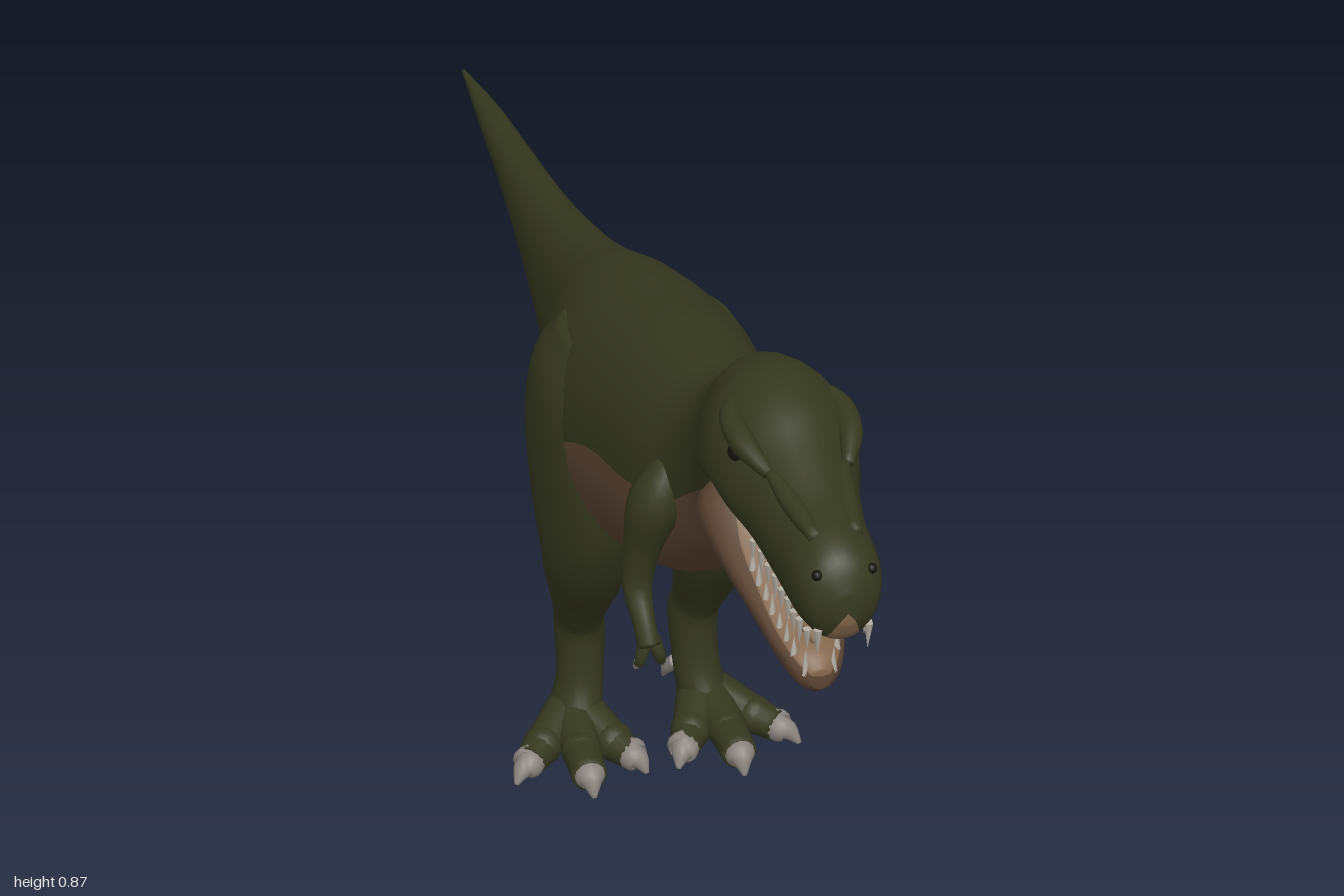
import * as THREE from 'three';

const mat = (name, color) => Object.assign(new THREE.MeshStandardMaterial({ color }), { name });
const V = (x, y, z) => new THREE.Vector3(x, y, z);

// Smoothly subdivides rows of numbers with a Catmull-Rom rule
function smooth(rows, k) {
  const out = [];
  const row = i => rows[Math.min(Math.max(i, 0), rows.length - 1)];
  for (let i = 0; i < rows.length - 1; i++) {
    for (let s = 0; s < k; s++) {
      const t = s / k;
      out.push(row(i).map((b, c) => {
        const a = row(i - 1)[c], d = row(i + 1)[c], e = row(i + 2)[c];
        return b + 0.5 * t * (d - a + t * (2 * a - 5 * b + 4 * d - e + t * (3 * (b - d) + e - a)));
      }));
    }
  }
  out.push(rows[rows.length - 1]);
  return out;
}

// Skins closed rings; the first `low` strips of each ring use material 0, the rest material 1
function skin(rings, low) {
  const n = rings[0].length, pos = [], parts = [[], []];
  rings.forEach(r => r.forEach(p => pos.push(p.x, p.y, p.z)));
  for (let i = 0; i < rings.length - 1; i++) {
    for (let j = 0; j < n; j++) {
      const a = i * n + j, b = i * n + (j + 1) % n;
      parts[j < low ? 0 : 1].push(a, b, a + n, b, b + n, a + n);
    }
  }
  // end caps
  [0, rings.length - 1].forEach((r, end) => {
    const c = rings[r].reduce((s, p) => s.add(p), V(0, 0, 0)).divideScalar(n);
    const ci = pos.length / 3;
    pos.push(c.x, c.y, c.z);
    for (let j = 0; j < n; j++) {
      const a = r * n + j, b = r * n + (j + 1) % n;
      parts[j < low ? 0 : 1].push(ci, ...(end ? [a, b] : [b, a]));
    }
  });
  const g = new THREE.BufferGeometry();
  g.setAttribute('position', new THREE.Float32BufferAttribute(pos, 3));
  g.setIndex([...parts[0], ...parts[1]]);
  g.addGroup(0, parts[0].length, 0);
  g.addGroup(parts[0].length, parts[1].length, 1);
  g.computeVertexNormals();
  return g;
}

// Lengthwise form, rows: z, top, bottom, half width, height of widest point, height of colour border
function hull(rows, k = 5, low = 16, high = 24) {
  return skin(smooth(rows, k).map(([z, top, bot, w, mid, split]) => {
    const c = split < mid ? (mid - split) / (mid - bot) : (mid - split) / (top - mid);
    const A = Math.acos(Math.min(Math.max(c, -0.98), 0.98));
    const ring = [];
    for (let j = 0; j < low + high; j++) {
      const a = j < low ? -A + 2 * A * j / low : A + (2 * Math.PI - 2 * A) * (j - low) / high;
      const h = Math.cos(a);
      ring.push(V(w * Math.sin(a), mid - h * (h > 0 ? mid - bot : top - mid), z));
    }
    return ring;
  }), low);
}

// Upright form, rows: y, inner x, outer x, back z, front z
function column(rows, side, n = 24) {
  return skin(smooth(rows, 4).map(([y, x0, x1, z0, z1]) => Array.from({ length: n }, (_, j) => {
    const a = j / n * Math.PI * 2;
    return V(side * (x0 + x1) / 2 + Math.sin(a) * (x1 - x0) / 2, y, (z0 + z1) / 2 + Math.cos(a) * (z1 - z0) / 2);
  })), n);
}

// Round tapering form along a path, rows: x, y, z, radius
function limb(rows, side = 1, n = 12) {
  const pts = smooth(rows, 4), P = pts.map(p => V(side * p[0], p[1], p[2]));
  return skin(P.map((p, i) => {
    const t = P[Math.min(i + 1, P.length - 1)].clone().sub(P[Math.max(i - 1, 0)]).normalize();
    const u = t.clone().cross(V(1, 0, 0)).normalize(), v = t.clone().cross(u);
    return Array.from({ length: n }, (_, j) => {
      const a = j / n * Math.PI * 2, r = pts[i][3];
      return p.clone().addScaledVector(u, Math.cos(a) * r).addScaledVector(v, Math.sin(a) * r);
    });
  }), n);
}

const BODY = [
  [-1, 0.533, 0.527, 0.003, 0.53, 0.529], [-0.8, 0.556, 0.51, 0.02, 0.535, 0.523],
  [-0.6, 0.568, 0.483, 0.032, 0.53, 0.503], [-0.39, 0.587, 0.44, 0.046, 0.515, 0.468],
  [-0.18, 0.623, 0.392, 0.067, 0.505, 0.425], [-0.05, 0.657, 0.366, 0.09, 0.5, 0.395],
  [0.05, 0.69, 0.352, 0.12, 0.5, 0.39], [0.15, 0.712, 0.348, 0.14, 0.51, 0.42],
  [0.25, 0.73, 0.37, 0.14, 0.53, 0.53], [0.355, 0.75, 0.4, 0.125, 0.55, 0.58],
  [0.46, 0.756, 0.445, 0.105, 0.585, 0.592], [0.535, 0.765, 0.515, 0.078, 0.63, 0.6],
  [0.585, 0.793, 0.572, 0.064, 0.68, 0.635], [0.63, 0.832, 0.6, 0.063, 0.72, 0.665],
  [0.68, 0.86, 0.612, 0.068, 0.74, 0.685], [0.72, 0.85, 0.64, 0.05, 0.74, 0.7],
];
const SKULL = [
  [0.6, 0.8, 0.7, 0.03, 0.75, 0.705], [0.65, 0.847, 0.672, 0.066, 0.75, 0.677],
  [0.7, 0.868, 0.695, 0.083, 0.755, 0.7], [0.74, 0.872, 0.722, 0.087, 0.765, 0.728],
  [0.79, 0.858, 0.705, 0.08, 0.76, 0.712], [0.84, 0.83, 0.688, 0.064, 0.75, 0.695],
  [0.9, 0.802, 0.673, 0.054, 0.735, 0.68], [0.955, 0.787, 0.667, 0.05, 0.73, 0.674],
  [0.985, 0.768, 0.674, 0.039, 0.725, 0.68], [1, 0.735, 0.7, 0.014, 0.718, 0.704],
];
const JAW = [
  [0.62, 0.66, 0.605, 0.04, 0.63, 0.655], [0.67, 0.715, 0.608, 0.074, 0.665, 0.71],
  [0.715, 0.742, 0.614, 0.082, 0.685, 0.733], [0.77, 0.692, 0.603, 0.07, 0.655, 0.68],
  [0.82, 0.655, 0.586, 0.056, 0.63, 0.645], [0.87, 0.624, 0.566, 0.042, 0.605, 0.615],
  [0.905, 0.607, 0.558, 0.029, 0.59, 0.599], [0.92, 0.592, 0.568, 0.012, 0.58, 0.586],
];
const LEG = [
  [0.01, 0.055, 0.13, 0.092, 0.2], [0.05, 0.055, 0.127, 0.092, 0.19], [0.1, 0.05, 0.115, 0.095, 0.168],
  [0.17, 0.046, 0.115, 0.078, 0.165], [0.2, 0.05, 0.118, 0.085, 0.18], [0.25, 0.042, 0.13, 0.11, 0.218],
  [0.3, 0.036, 0.143, 0.125, 0.257], [0.35, 0.034, 0.151, 0.13, 0.288], [0.41, 0.03, 0.157, 0.09, 0.312],
  [0.5, 0.03, 0.158, 0.035, 0.326], [0.59, 0.03, 0.146, 0.045, 0.312], [0.65, 0.04, 0.112, 0.1, 0.26],
];
// toe paths, each followed by the claw tip
const TOES = [
  [[0.095, 0.045, 0.14, 0.034], [0.103, 0.035, 0.225, 0.027], [0.105, 0.031, 0.28, 0.024], [0.105, 0.012, 0.306, 0.003]],
  [[0.1, 0.045, 0.14, 0.034], [0.15, 0.032, 0.195, 0.026], [0.176, 0.028, 0.225, 0.022], [0.2, 0.012, 0.25, 0.003]],
  [[0.085, 0.045, 0.15, 0.034], [0.055, 0.032, 0.21, 0.026], [0.036, 0.028, 0.243, 0.021], [0.022, 0.012, 0.268, 0.003]],
];

export function createModel() {
  const hide = mat('olive hide', 0x35381f), under = mat('brown underside', 0x5c4534);
  const mouth = mat('mouth lining', 0x80644a), tooth = mat('tooth ivory', 0xb4afa4);
  const claw = mat('claw grey', 0x8a847e), eye = mat('dark eye', 0x14130d);
  const model = new THREE.Group();
  const add = (name, geo, m, parent = model) => {
    const mesh = new THREE.Mesh(geo, m);
    mesh.name = name;
    parent.add(mesh);
    return mesh;
  };
  const group = name => {
    const g = new THREE.Group();
    g.name = name;
    model.add(g);
    return g;
  };

  add('bodyAndTail', hull(BODY), [under, hide]);

  // head
  const head = group('head');
  add('skull', hull(SKULL), [mouth, hide], head);
  add('lowerJaw', hull(JAW), [under, mouth], head);
  add('tongue', limb([[0, 0.685, 0.76, 0.022], [0, 0.655, 0.81, 0.022], [0, 0.625, 0.865, 0.014], [0, 0.612, 0.895, 0.004]]), mouth, head);

  // rows of teeth set inside the lips
  const addTeeth = (name, rows, dir, from, to, count) => {
    const line = smooth(rows, 8);
    for (let i = 0; i < count; i++) {
      const z = from + (to - from) * i / (count - 1);
      const r = line.reduce((a, b) => Math.abs(b[0] - z) < Math.abs(a[0] - z) ? b : a);
      const edge = dir < 0 ? r[2] : r[1], len = 0.026 + 0.006 * (i % 2);
      for (const s of [-1, 1]) {
        const t = add(name, new THREE.ConeGeometry(0.005, len, 6), tooth, head);
        t.position.set(s * r[3] * 0.72, edge, z);
        if (dir < 0) t.rotation.x = Math.PI;
      }
    }
  };
  addTeeth('upperTooth', SKULL, -1, 0.82, 0.986, 10);
  addTeeth('lowerTooth', JAW, 1, 0.8, 0.912, 8);

  for (const s of [-1, 1]) {
    // brow ridge, eye and nostril
    add('browRidge', limb([[0.05, 0.84, 0.73, 0.006], [0.063, 0.832, 0.765, 0.013], [0.06, 0.822, 0.81, 0.014], [0.045, 0.807, 0.85, 0.007]], s), hide, head);
    add('snoutRidge', limb([[0.042, 0.806, 0.845, 0.006], [0.03, 0.79, 0.89, 0.012], [0.022, 0.78, 0.95, 0.008]], s), hide, head);
    const ball = add('eye', new THREE.SphereGeometry(0.011, 16, 10), eye, head);
    ball.position.set(s * 0.064, 0.808, 0.797);
    const nostril = add('nostril', new THREE.SphereGeometry(0.006, 10, 8), eye, head);
    nostril.position.set(s * 0.03, 0.755, 0.982);

    // hind leg with three toes and a rear spur
    const leg = group(s > 0 ? 'leftLeg' : 'rightLeg');
    add('thighAndShin', column(LEG, s), hide, leg);
    for (const path of TOES) {
      const [, b, c, tip] = path;
      add('toe', limb(path.slice(0, 3), s, 16), hide, leg);
      const rise = [c[0], c[1] + 0.002, c[2] - 0.012, 0.021];
      const mid = [0, 1, 2].map(i => c[i] * 0.5 + tip[i] * 0.5 + (i === 1 ? 0.006 : 0));
      add('toeClaw', limb([rise, [c[0], c[1], c[2] + 0.004, 0.0205], [...mid, 0.014], tip], s), claw, leg);
      const knuckle = add('toeKnuckle', new THREE.SphereGeometry(0.028, 16, 10), hide, leg);
      knuckle.position.set(s * b[0], b[1], b[2]);
    }
    add('rearSpur', limb([[0.062, 0.085, 0.115, 0.012], [0.052, 0.065, 0.098, 0.009], [0.048, 0.045, 0.088, 0.002]], s), claw, leg);

    // small arm with two clawed fingers
    const arm = group(s > 0 ? 'leftArm' : 'rightArm');
    add('armAndHand', limb([[0.06, 0.645, 0.525, 0.02], [0.082, 0.595, 0.525, 0.034], [0.096, 0.53, 0.515, 0.024],
      [0.102, 0.475, 0.515, 0.019], [0.1, 0.435, 0.542, 0.014], [0.097, 0.41, 0.553, 0.015]], s), hide, arm);
    for (const x of [-0.012, 0.01]) {
      add('finger', limb([[0.097 + x * 0.4, 0.418, 0.55, 0.01], [0.097 + x, 0.398, 0.556, 0.008], [0.097 + x * 1.3, 0.385, 0.553, 0.006]], s, 8), hide, arm);
      add('fingerClaw', limb([[0.097 + x * 1.3, 0.388, 0.553, 0.006], [0.097 + x * 1.5, 0.38, 0.55, 0.004], [0.097 + x * 1.5, 0.373, 0.545, 0.001]], s, 8), claw, arm);
    }
  }
  return model;
}
